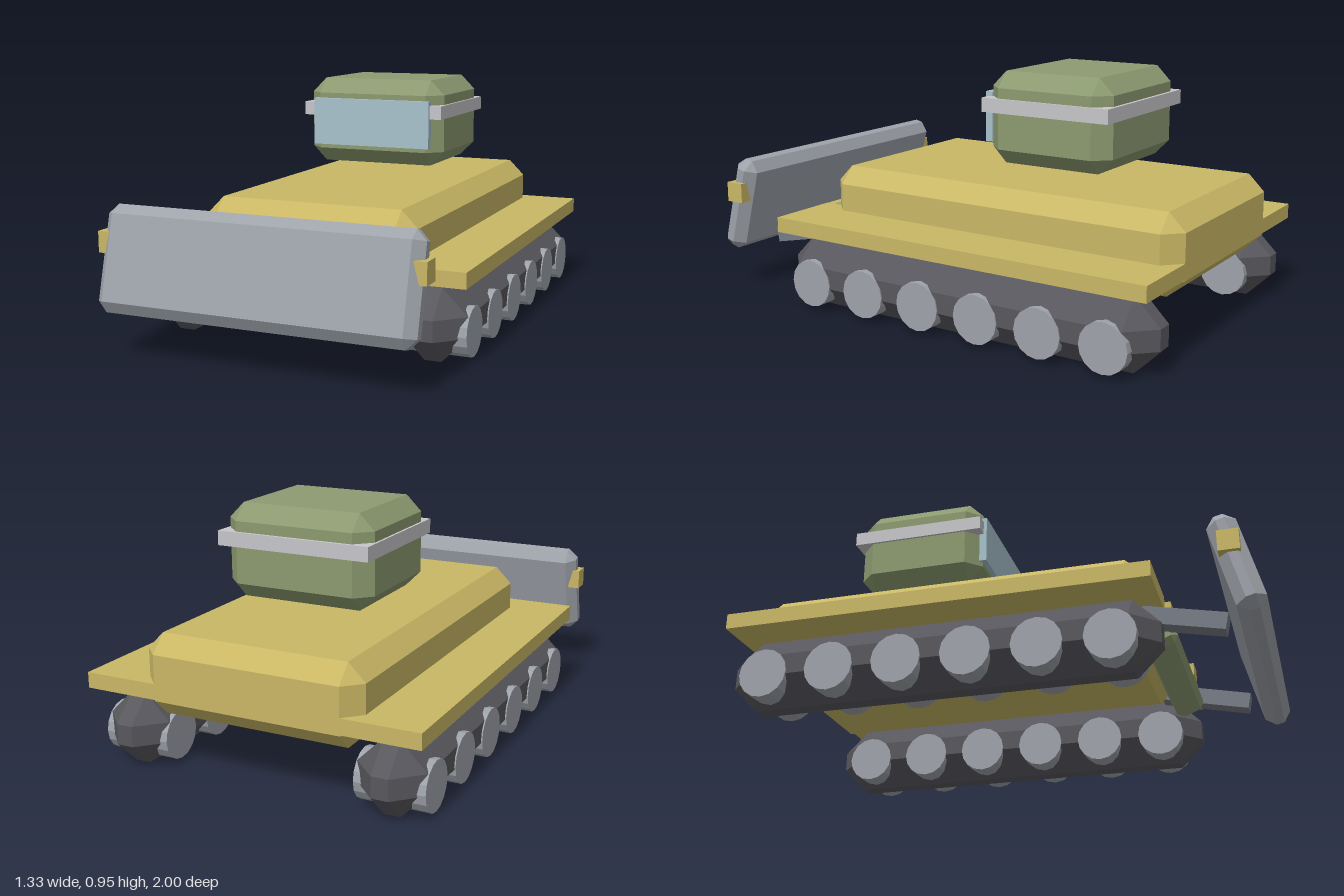
import * as THREE from 'three';
import { ConvexGeometry } from 'three/addons/geometries/ConvexGeometry.js';

const material = (name, color) => {
  const m = new THREE.MeshStandardMaterial({ color });
  m.name = name;
  return m;
};

// Box with every edge cut at 45 degrees by c
function chamferBox(w, h, d, c) {
  const points = [];
  for (const x of [-w / 2, w / 2]) for (const y of [-h / 2, h / 2]) for (const z of [-d / 2, d / 2]) {
    const ix = x - Math.sign(x) * c, iy = y - Math.sign(y) * c, iz = z - Math.sign(z) * c;
    points.push(new THREE.Vector3(x, iy, iz), new THREE.Vector3(ix, y, iz), new THREE.Vector3(ix, iy, z));
  }
  return new ConvexGeometry(points);
}

export function createModel() {
  const gold = material('sand yellow', 0xc9b765);
  const green = material('olive green', 0x8c9a70);
  const steel = material('steel grey', 0x9ea3aa);
  const armGrey = material('arm grey', 0x777c85);
  const rubber = material('track grey', 0x58575d);
  const glass = material('window blue', 0xa8c2cc);
  const trim = material('light trim', 0xc6c6ca);

  const model = new THREE.Group();
  model.name = 'trackedPlough';

  const add = (name, geometry, mat, x, y, z, tilt = 0) => {
    const mesh = new THREE.Mesh(geometry, mat);
    mesh.name = name;
    mesh.position.set(x, y, z);
    mesh.rotation.x = tilt;
    model.add(mesh);
    return mesh;
  };
  const box = (w, h, d) => new THREE.BoxGeometry(w, h, d);

  // Hull and sloping nose
  add('hull', chamferBox(0.87, 0.305, 1.545, 0.066), gold, 0, 0.3825, -0.2275);
  add('nosePlate', chamferBox(0.74, 0.2, 0.12, 0.025), green, 0, 0.26, 0.575, -0.4);

  // Cab, floating above the hull
  add('cab', chamferBox(0.595, 0.355, 0.52, 0.06), green, 0, 0.7775, -0.385);
  add('cabBand', box(0.614, 0.055, 0.54), trim, 0, 0.828, -0.388);
  add('windscreen', box(0.515, 0.195, 0.03), glass, 0, 0.776, -0.12);

  // Front blade, leaning back
  add('blade', chamferBox(1.23, 0.395, 0.11, 0.038), steel, 0, 0.36, 0.905, -0.26);

  const wheel = new THREE.CylinderGeometry(0.094, 0.094, 0.268, 16).toNonIndexed();
  wheel.rotateZ(Math.PI / 2);
  wheel.computeVertexNormals();

  for (const [label, s] of [['left', 1], ['right', -1]]) {
    // Running gear
    add(label + 'Fender', box(0.297, 0.06, 1.62), gold, s * 0.5165, 0.33, -0.19);
    add(label + 'Track', chamferBox(0.26, 0.275, 1.63, 0.098), rubber, s * 0.515, 0.1375, -0.185);
    for (let i = 0; i < 6; i++) {
      add(label + 'Wheel' + (i + 1), wheel, steel, s * 0.516, 0.108, 0.467 - i * 0.2605);
    }
    // Lamps and blade supports
    add(label + 'Headlamp', box(0.086, 0.05, 0.035), gold, s * 0.299, 0.327, 0.622);
    add(label + 'BladeArm', box(0.07, 0.066, 0.36), armGrey, s * 0.4, 0.243, 0.671, 0.21);
    add(label + 'BladeLamp', box(0.05, 0.08, 0.078), gold, s * 0.608, 0.42, 0.888);
  }
  return model;
}
